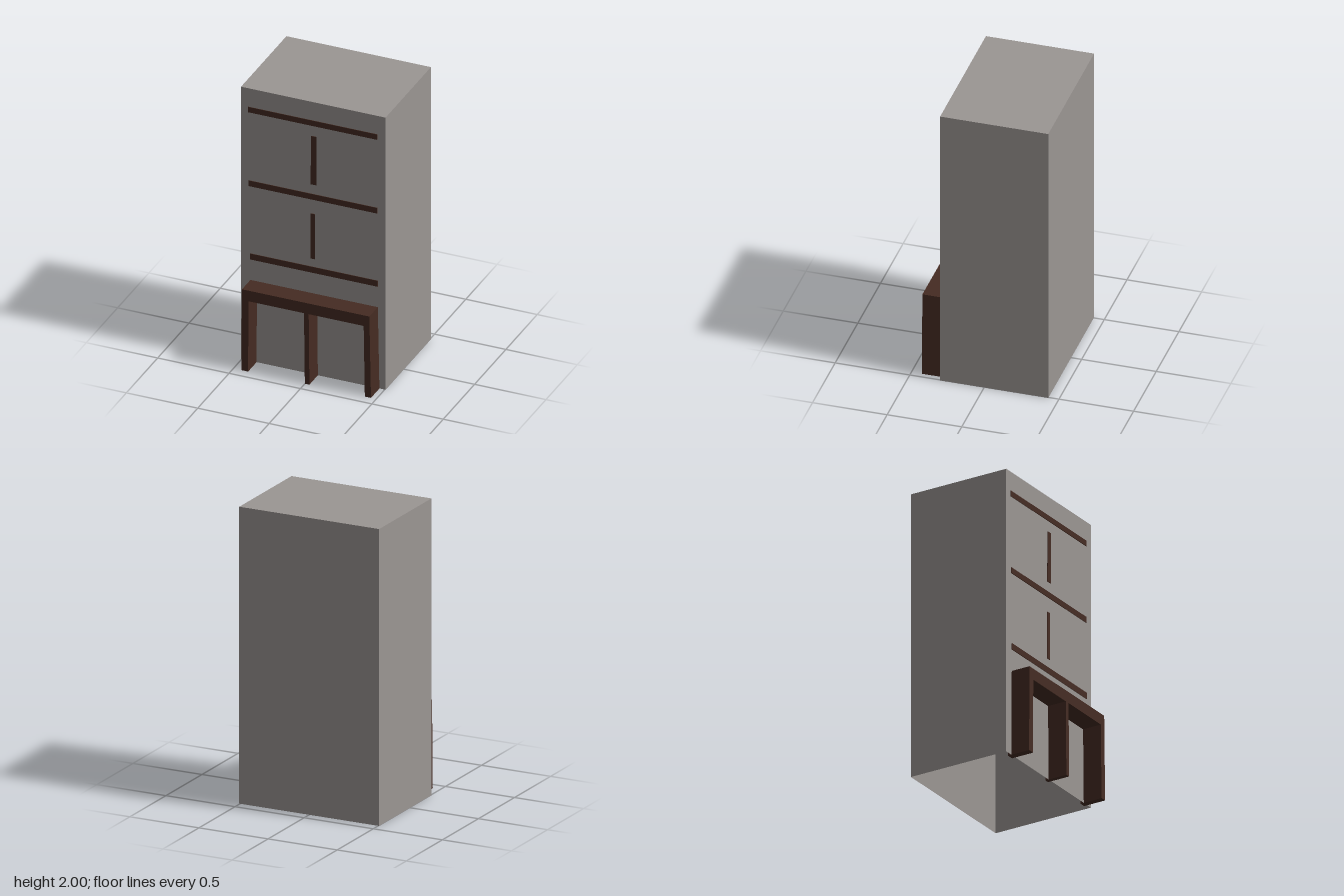
import * as THREE from 'three';

const FRONT = 0.295, BACK = -0.43, HALF = 0.506, HEIGHT = 2;

// Prism from a front outline, running from z0 to z1
function prism(name, points, z0, z1, material) {
  const shape = new THREE.Shape(points.map(([x, y]) => new THREE.Vector2(x, y)));
  const geometry = new THREE.ExtrudeGeometry(shape, { depth: z1 - z0, bevelEnabled: false });
  geometry.translate(0, 0, z0);
  const mesh = new THREE.Mesh(geometry, material);
  mesh.name = name;
  return mesh;
}

export function createModel() {
  const model = new THREE.Group();
  model.name = 'tower';

  const plaster = new THREE.MeshStandardMaterial({ color: 0x9b9693, side: THREE.DoubleSide });
  plaster.name = 'grey plaster';
  const timber = new THREE.MeshStandardMaterial({ color: 0x452b22 });
  timber.name = 'dark brown timber';

  // Hollow walls and flat roof, open underneath
  const shell = new THREE.Group();
  shell.name = 'shell';
  const depth = FRONT - BACK, midZ = (FRONT + BACK) / 2, midY = HEIGHT / 2;
  const panels = [
    ['frontWall', 2 * HALF, HEIGHT, [0, midY, FRONT], [0, 0, 0]],
    ['backWall', 2 * HALF, HEIGHT, [0, midY, BACK], [0, Math.PI, 0]],
    ['leftWall', depth, HEIGHT, [HALF, midY, midZ], [0, Math.PI / 2, 0]],
    ['rightWall', depth, HEIGHT, [-HALF, midY, midZ], [0, -Math.PI / 2, 0]],
    ['roof', 2 * HALF, depth, [0, HEIGHT, midZ], [-Math.PI / 2, 0, 0]],
  ];
  for (const [name, w, h, position, rotation] of panels) {
    const panel = new THREE.Mesh(new THREE.PlaneGeometry(w, h), plaster);
    panel.name = name;
    panel.position.set(...position);
    panel.rotation.set(...rotation);
    shell.add(panel);
  }
  model.add(shell);

  // Porch frame: lintel on three slightly leaning posts, reaching through the wall
  model.add(prism('porchFrame', [
    [-0.445, 0], [-0.397, 0], [-0.395, 0.517], [-0.006, 0.517], [0, 0], [0.032, 0],
    [0.027, 0.517], [0.412, 0.517], [0.42, 0], [0.463, 0], [0.452, 0.595], [-0.44, 0.595],
  ], 0.27, 0.43, timber));

  // Thin horizontal beams on the front wall: left x, right x, bottom y, top y
  const beams = [
    [-0.455, 0.448, 1.826, 1.865],
    [-0.452, 0.448, 1.284, 1.325],
    [-0.441, 0.453, 0.747, 0.79],
  ];
  for (const [x0, x1, y0, y1] of beams) {
    model.add(prism('beam', [[x0, y0], [x1, y0], [x1, y1], [x0, y1]], FRONT - 0.003, FRONT + 0.004, timber));
  }

  // Thin upright studs between the beams
  model.add(prism('upperStud', [[-0.018, 1.395], [0.023, 1.395], [0.023, 1.75], [-0.013, 1.75]],
    FRONT - 0.003, FRONT + 0.004, timber));
  model.add(prism('lowerStud', [[-0.017, 0.85], [0.013, 0.85], [0.013, 1.18], [-0.017, 1.18]],
    FRONT - 0.003, FRONT + 0.004, timber));

  return model;
}
